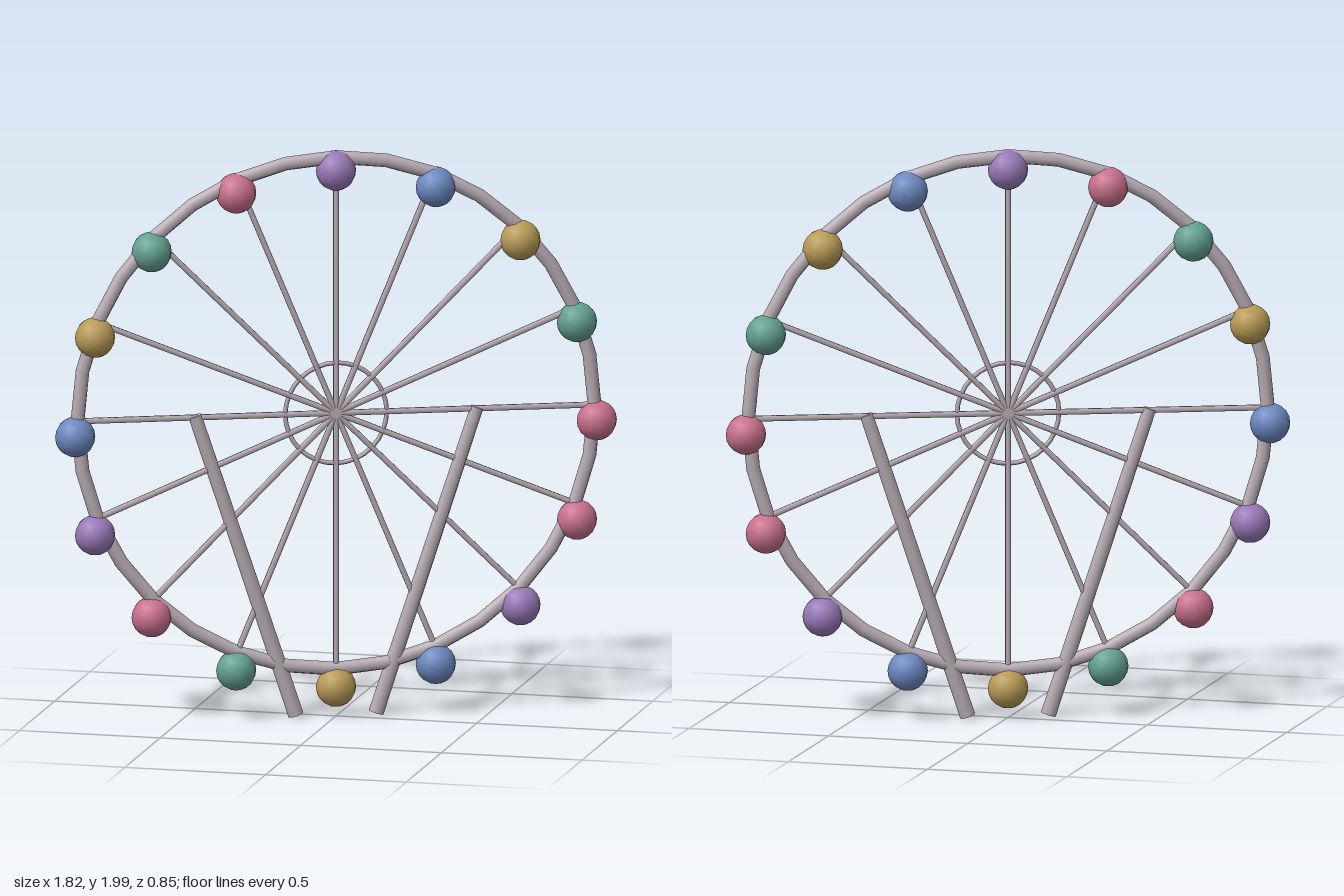
import * as THREE from 'three';

const HUB_Y = 1.07;
const RIM_R = 0.902;
const COUNT = 16;

const frameMat = new THREE.MeshStandardMaterial({ color: 0xb8acb4 });
const cabinMats = [0xc8708c, 0x62a090, 0xb89a55, 0x6c88c0, 0x9878b8]
  .map((color) => new THREE.MeshStandardMaterial({ color }));

function add(parent, name, geometry, material = frameMat) {
  const mesh = new THREE.Mesh(geometry, material);
  mesh.name = name;
  parent.add(mesh);
  return mesh;
}

// Round bar running from point a to point b
function bar(parent, name, a, b, rStart, rEnd, sides) {
  const dir = b.clone().sub(a);
  const mesh = add(parent, name, new THREE.CylinderGeometry(rEnd, rStart, dir.length(), sides));
  mesh.position.copy(a).addScaledVector(dir, 0.5);
  mesh.quaternion.setFromUnitVectors(new THREE.Vector3(0, 1, 0), dir.normalize());
  return mesh;
}

export function createModel() {
  const model = new THREE.Group();
  model.name = 'ferrisWheel';
  model.rotation.y = 0.4;

  // Wheel: outer rim, small hub ring and spokes
  const wheel = new THREE.Group();
  wheel.name = 'wheel';
  wheel.position.y = HUB_Y;
  model.add(wheel);
  add(wheel, 'rim', new THREE.TorusGeometry(RIM_R, 0.024, 8, 32));
  add(wheel, 'hubRing', new THREE.TorusGeometry(0.177, 0.008, 6, 32));

  const cabins = new THREE.Group();
  cabins.name = 'cabins';
  model.add(cabins);
  const cabinGeo = new THREE.SphereGeometry(0.07, 12, 10);

  for (let i = 0; i < COUNT; i++) {
    const angle = (i / COUNT) * Math.PI * 2;
    const tip = new THREE.Vector3(Math.cos(angle), Math.sin(angle), 0).multiplyScalar(RIM_R);
    bar(wheel, 'spoke', new THREE.Vector3(), tip, 0.011, 0.011, 6);

    // Cabin hanging slightly below the end of its spoke
    const cabin = add(cabins, 'cabin', cabinGeo, cabinMats[i % cabinMats.length]);
    cabin.position.set(0.91 * Math.cos(angle), HUB_Y - 0.055 + 0.91 * Math.sin(angle), 0);
  }

  // Pair of support legs spreading upwards
  for (const side of [-1, 1]) {
    bar(model, 'supportLeg',
      new THREE.Vector3(side * 0.14, 0.01, 0),
      new THREE.Vector3(side * 0.492, 1.075, 0), 0.027, 0.023, 8);
  }

  const root = new THREE.Group();
  root.add(model);
  return root;
}
